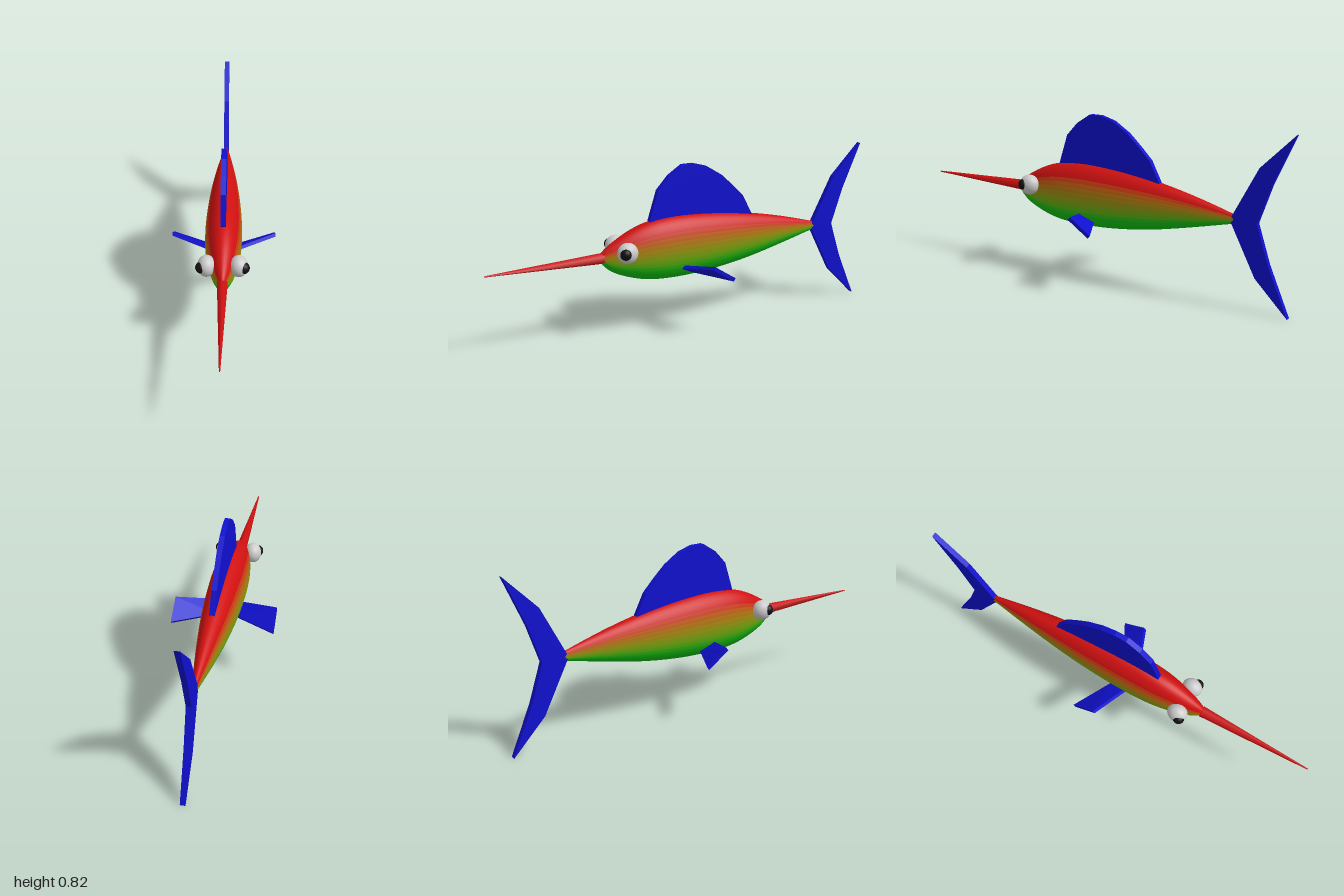
import * as THREE from 'three';
import { ConvexGeometry } from 'three/addons/geometries/ConvexGeometry.js';

const RED = 0xd01010, GREEN = 0x10c010, BLUE = 0x1010d0;
const paint = (color) => new THREE.MeshStandardMaterial({ color });

function part(name, geometry, material, parent) {
  const mesh = new THREE.Mesh(geometry, material);
  mesh.name = name;
  parent.add(mesh);
  return mesh;
}

// Flat fin cut from an outline of [z, y] points, centred on x = 0
function finGeometry(outline, thickness) {
  const shape = new THREE.Shape(outline.map(([z, y]) => new THREE.Vector2(z, y)));
  const g = new THREE.ExtrudeGeometry(shape, { depth: thickness, bevelEnabled: false });
  return g.translate(0, 0, -thickness / 2).rotateY(-Math.PI / 2);
}

// Oval body lofted through [z, bottom, top] stations; each lengthwise strip is one colour group
function bodyGeometry(rings, sides) {
  const curve = new THREE.CatmullRomCurve3([
    [0.455, 0.415, 0.425], [0.45, 0.396, 0.444], [0.4, 0.348, 0.482], [0.3, 0.304, 0.535],
    [0.2, 0.28, 0.566], [0.07, 0.272, 0.578], [-0.1, 0.279, 0.57], [-0.3, 0.305, 0.545],
    [-0.5, 0.347, 0.505], [-0.7, 0.395, 0.452], [-0.77, 0.411, 0.43], [-0.78, 0.42, 0.421],
  ].map((p) => new THREE.Vector3(...p)), false, 'centripetal');
  const positions = [], index = [];
  for (let i = 0; i <= rings; i++) {
    const p = curve.getPoint(i / rings);
    const mid = (p.y + p.z) / 2, half = (p.z - p.y) / 2;
    for (let j = 0; j < sides; j++) {
      const a = (j / sides) * Math.PI * 2;
      positions.push(0.575 * half * Math.cos(a), mid + half * Math.sin(a), p.x);
    }
  }
  const g = new THREE.BufferGeometry();
  for (let j = 0; j < sides; j++) {
    const k = (j + 1) % sides;
    g.addGroup(index.length, rings * 6, j);
    for (let i = 0; i < rings; i++) {
      const r = i * sides, s = r + sides;
      index.push(r + j, s + j, r + k, s + j, s + k, r + k);
    }
  }
  g.setAttribute('position', new THREE.Float32BufferAttribute(positions, 3));
  g.setIndex(index);
  g.computeVertexNormals();
  return g;
}

// Strip colours fade from a green belly to a red back
function bodyMaterials(sides) {
  return Array.from({ length: sides }, (_, j) => {
    const height = Math.sin(((j + 0.5) / sides) * Math.PI * 2);
    const t = THREE.MathUtils.clamp(0.48 + height * 0.85, 0, 1);
    return paint(new THREE.Color(GREEN).lerp(new THREE.Color(RED), t));
  });
}

export function createModel() {
  const model = new THREE.Group();
  model.name = 'swordfish';
  const blue = paint(BLUE), white = paint(0xeeeeee), black = paint(0x111111);

  part('body', bodyGeometry(44, 40), bodyMaterials(40), model);

  // Long pointed bill
  const bill = new THREE.CylinderGeometry(0.003, 0.027, 0.56, 6).rotateX(Math.PI / 2);
  part('bill', bill, paint(RED), model).position.set(0, 0.42, 0.72);

  // Sail on the back
  part('dorsalFin', finGeometry([
    [0.2, 0.54], [0.205, 0.57], [0.16, 0.71], [0.1, 0.775], [0.03, 0.82], [-0.03, 0.82],
    [-0.1, 0.8], [-0.18, 0.75], [-0.24, 0.695], [-0.3, 0.635], [-0.355, 0.53], [-0.35, 0.5],
  ], 0.025), blue, model);

  // Forked tail, mirrored about its mid height
  const upper = [[-0.84, 0.67], [-1, 0.83], [-0.9, 0.6]];
  const lower = upper.map(([z, y]) => [z, 0.84 - y]).reverse();
  part('tailFin', finGeometry(
    [[-0.71, 0.42], ...upper, [-0.84, 0.42], ...lower], 0.025), blue, model);

  for (const [side, s] of [['left', 1], ['right', -1]]) {
    // Swept pectoral fin: a tilted slab, higher at its leading edge
    const top = [[0.05, 0.341, 0.06], [0.25, 0.38, -0.015], [0.25, 0.307, -0.126], [0.05, 0.307, -0.02]];
    const corners = top.flatMap(([x, y, z]) => [
      new THREE.Vector3(s * x, y, z),
      new THREE.Vector3(s * x, y - 0.014, z + 0.011),
    ]);
    part(side + 'PectoralFin', new ConvexGeometry(corners), blue, model);

    // Bulging eye with a pupil looking out and forward
    const eye = new THREE.Group();
    eye.name = side + 'Eye';
    model.add(eye);
    const ball = part('eyeball', new THREE.SphereGeometry(0.05, 24, 16), white, eye);
    ball.scale.x = 0.85;
    ball.position.set(s * 0.073, 0.45, 0.347);
    const pupil = part('pupil', new THREE.SphereGeometry(0.028, 20, 14), black, eye);
    pupil.position.set(s * 0.095, 0.453, 0.365);
  }
  return model;
}
